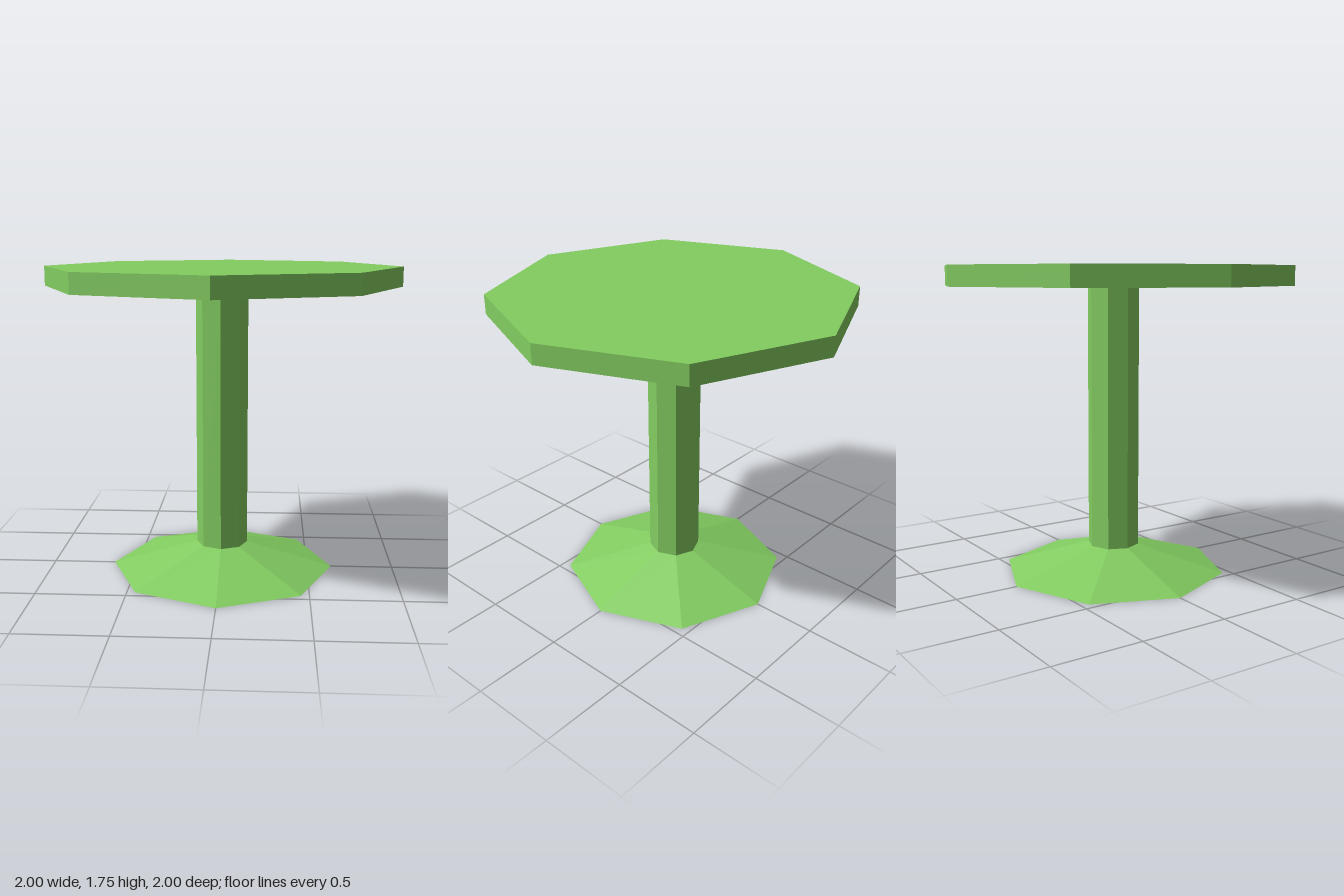
import * as THREE from 'three';

export function createModel() {
  const model = new THREE.Group();
  model.name = 'pedestalTable';
  const green = new THREE.MeshStandardMaterial({ color: 0x83cd61, flatShading: true });
  green.name = 'leaf green';

  // Octagonal section with corners on the x and z axes
  const addSection = (name, topRadius, bottomRadius, bottom, top) => {
    const geometry = new THREE.CylinderGeometry(topRadius, bottomRadius, top - bottom, 8);
    const mesh = new THREE.Mesh(geometry, green);
    mesh.name = name;
    mesh.position.y = (bottom + top) / 2;
    model.add(mesh);
  };

  addSection('foot', 0.147, 0.642, 0, 0.147);
  addSection('column', 0.147, 0.147, 0.147, 1.64);
  addSection('tableTop', 1, 1, 1.64, 1.75);

  return model;
}
